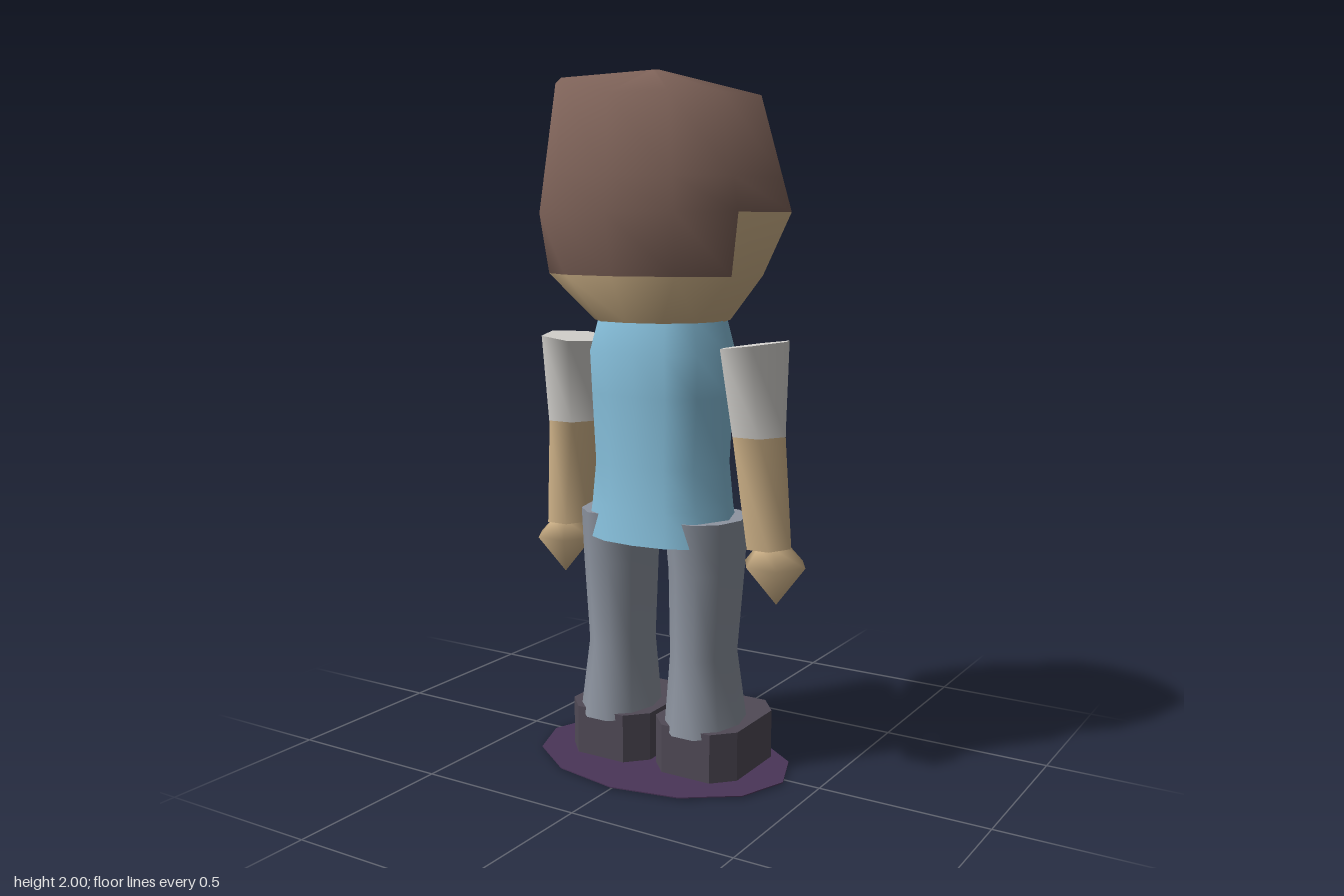
import * as THREE from 'three';

const colours = {
  hairBrown: 0x80645a, skinTan: 0xd4b78c, faceOrange: 0xd39c52, shirtLightBlue: 0x87c0dc,
  stripeBlue: 0x459fe0, stripeWhite: 0xd6d4d0, trouserGrey: 0x8e95a1, trimBlack: 0x2a2221,
  shoeCharcoal: 0x504a56, basePurple: 0x4a3558,
};
const mats = {};

// Skin a stack of rings (bottom to top); pick(row, column) gives a material index, -1 for a gap
function loft(rings, pick = () => 0, caps = true) {
  const n = rings[0].length, pos = [], groups = [];
  const add = (m, ...ids) => { if (m >= 0) (groups[m] ??= []).push(...ids); };
  rings.flat().forEach(p => pos.push(p.x, p.y, p.z));
  for (let r = 0; r < rings.length - 1; r++) for (let i = 0; i < n; i++) {
    const j = (i + 1) % n, a = r * n + i, b = r * n + j;
    add(pick(r, i), a, a + n, b + n, a, b + n, b);
  }
  if (caps) [[rings[0], 0], [rings.at(-1), rings.length - 2]].forEach(([ring, row], top) => {
    const base = pos.length / 3, c = new THREE.Vector3();
    ring.forEach(p => { c.add(p); pos.push(p.x, p.y, p.z); });
    c.divideScalar(n);
    pos.push(c.x, c.y, c.z);
    for (let i = 0; i < n; i++) {
      const a = base + i, b = base + (i + 1) % n;
      add(pick(row, 6), top ? b : a, top ? a : b, base + n);
    }
  });
  const g = new THREE.BufferGeometry();
  g.setAttribute('position', new THREE.Float32BufferAttribute(pos, 3));
  const index = [];
  groups.forEach((ids, m) => { g.addGroup(index.length, ids.length, m); index.push(...ids); });
  g.setIndex(index);
  g.computeVertexNormals();
  return g;
}

// Mirror seven [x, z] points, running from -z to +z, into a twelve-point ring
function halfRing(y, pts) {
  const at = (i, s) => new THREE.Vector3(s * pts[i][0], Array.isArray(y) ? y[i] : y, pts[i][1]);
  return [0, 1, 2, 3, 4, 5, 6].map(i => at(i, 1)).concat([5, 4, 3, 2, 1].map(i => at(i, -1)));
}

// Oval ring from its extents [y, x0, x1, z0, z1]; tilt lifts the +x end
function oval([y, x0, x1, z0, z1, tilt = 0], n, s) {
  return Array.from({ length: n }, (_, i) => {
    const a = i / n * Math.PI * 2, c = Math.cos(a);
    return new THREE.Vector3(s * (x0 + x1) / 2 + c * (x1 - x0) / 2, y + s * c * tilt,
      (z0 + z1) / 2 + Math.sin(a) * (z1 - z0) / 2);
  });
}

export function createModel() {
  const model = new THREE.Group();
  for (const [name, color] of Object.entries(colours)) {
    mats[name] = new THREE.MeshStandardMaterial({ color });
    mats[name].name = name;
  }
  const put = (name, geometry, material) => {
    const mesh = new THREE.Mesh(geometry, material);
    mesh.name = name;
    model.add(mesh);
    return mesh;
  };
  const fold = c => Math.min(c, 11 - c);

  // Head: chin, jaw, cheeks, hairline, hair top and crown
  const chin = halfRing(1.31, [[0, -.15], [.11, -.12], [.17, -.06], [.2, .03], [.17, .13], [.1, .2], [0, .22]]);
  const jaw = halfRing(1.44, [[0, -.23], [.15, -.18], [.25, -.09], [.32, .03], [.3, .17], [.18, .26], [0, .3]]);
  const cheek = halfRing(1.61, [[0, -.325], [.18, -.24], [.315, -.11], [.405, .03], [.325, .18], [.19, .285], [0, .325]]);
  const top = halfRing([1.95, 1.94, 1.93, 1.92, 1.92, 1.92, 1.92],
    [[0, -.18], [.14, -.15], [.25, -.07], [.31, .03], [.27, .17], [.17, .28], [0, .31]]);
  top.slice(7).forEach(p => { p.y += .05; });
  const lift = [.38, .1, .36, .3, .3, .3, .3];
  const hairline = cheek.map((p, i) => p.clone().lerp(top[i], lift[i < 7 ? i : 12 - i]));
  const crown = top.map(p => new THREE.Vector3(p.x * .05, 2, .07 + p.z * .05));
  put('head', loft([chin, jaw, cheek, hairline, top, crown], (row, c) => {
    const k = fold(c);
    if (row < 3 && k < 2) return 2;
    return row === 0 || (row === 1 && k < 4) ? 1 : 0;
  }), [mats.hairBrown, mats.skinTan, mats.faceOrange]);

  // Eyes: thin fans folded over the cheek corner
  for (const s of [1, -1]) {
    const at = i => (12 + s * i) % 12, b = cheek[at(1)];
    const dir = p => p.clone().sub(b).normalize();
    const inner = dir(cheek[0]), outer = dir(cheek[at(2)]);
    const right = s > 0 ? inner : outer, left = s > 0 ? outer : inner;
    const up = dir(top[at(1)]), down = dir(jaw[at(1)]);
    const out = new THREE.Vector3(s * .55, 0, -.83);
    const disc = (radius, offset) => {
      const centre = b.clone().addScaledVector(out, offset), pos = [];
      const rim = k => {
        const a = k / 8 * Math.PI * 2, x = Math.cos(a) * radius, y = Math.sin(a) * radius;
        return centre.clone().addScaledVector(x > 0 ? right : left, Math.abs(x))
          .addScaledVector(y > 0 ? up : down, Math.abs(y));
      };
      for (let k = 0; k < 8; k++) [centre, rim(k), rim(k + 1)].forEach(p => pos.push(p.x, p.y, p.z));
      const g = new THREE.BufferGeometry();
      g.setAttribute('position', new THREE.Float32BufferAttribute(pos, 3));
      g.computeVertexNormals();
      return g;
    };
    put('eyeWhite', disc(.066, .006), mats.stripeWhite);
    put('pupil', disc(.034, .01), mats.trimBlack);
  }

  // Shirt: one outline scaled per height, with stripes on the -z side
  const outline = [[0, -.16], [.1, -.14], [.185, -.085], [.22, .01], [.175, .11], [.095, .15], [0, .16]];
  const body = (y, sx, sz) => halfRing(y, outline.map(([x, z]) => [x * sx, z * sz + .03]));
  put('shirt', loft([body(.68, 1.07, 1.06), body(.78, 1, 1), body(.9, .94, .96), body(1.1, 1, .98),
    body(1.22, 1.02, 1.02), body(1.32, .9, .87)], (r, c) => [2, 1, 0, 0, 0, 0][fold(c)]),
  [mats.shirtLightBlue, mats.stripeBlue, mats.stripeWhite]);

  // Belt with loops
  put('belt', loft([body(.69, 1.09, 1.09), body(.76, 1.07, 1.07)], (r, c) => fold(c) < 2 ? 0 : -1, false),
    [mats.trimBlack]);
  for (const x of [-.09, 0, .09]) {
    const loop = put('beltLoop', new THREE.BoxGeometry(.035, .055, .008), mats.trouserGrey);
    loop.position.set(x, .728, -.144 + Math.abs(x) * .2);
    loop.rotation.y = -x * 2.2;
  }

  // Shoe outline with cut corners
  const shoe = new THREE.Shape([[-.137, -.09], [-.08, -.15], [.08, -.15], [.137, -.09],
    [.137, .12], [.08, .19], [-.08, .19], [-.137, .12]].map(p => new THREE.Vector2(...p)));
  const shoeGeometry = new THREE.ExtrudeGeometry(shoe, { depth: .15, bevelEnabled: false }).rotateX(-Math.PI / 2);

  // Limbs on both sides
  for (const s of [1, -1]) {
    const limb = (name, rows, n, material) => put(name, loft(rows.map(r => oval(r, n, s))), [material]);
    limb('sleeve', [[1, .23, .395, -.065, .12], [1.25, .205, .395, -.1, .165, .012]], 6, mats.stripeWhite);
    limb('arm', [[.685, .275, .41, -.06, .1], [1, .23, .394, -.064, .119]], 6, mats.skinTan);
    limb('hand', [[.52, .364, .366, .016, .018], [.635, .265, .455, -.075, .11], [.69, .31, .4, -.03, .07]],
      6, mats.skinTan);
    limb('leg', [[.13, .035, .26, -.11, .175], [.35, .05, .232, -.08, .15], [.6, .045, .25, -.1, .16],
      [.75, .03, .257, -.11, .168]], 10, mats.trouserGrey);
    put('shoe', shoeGeometry, mats.shoeCharcoal).position.x = s * .147;
  }

  // Flat oval base
  const base = put('base', new THREE.CylinderGeometry(1, 1, .003, 12), mats.basePurple);
  base.geometry.rotateY(Math.PI / 6);
  base.scale.set(.4, 1, .285);
  base.position.set(0, .005, .03);

  return model;
}
